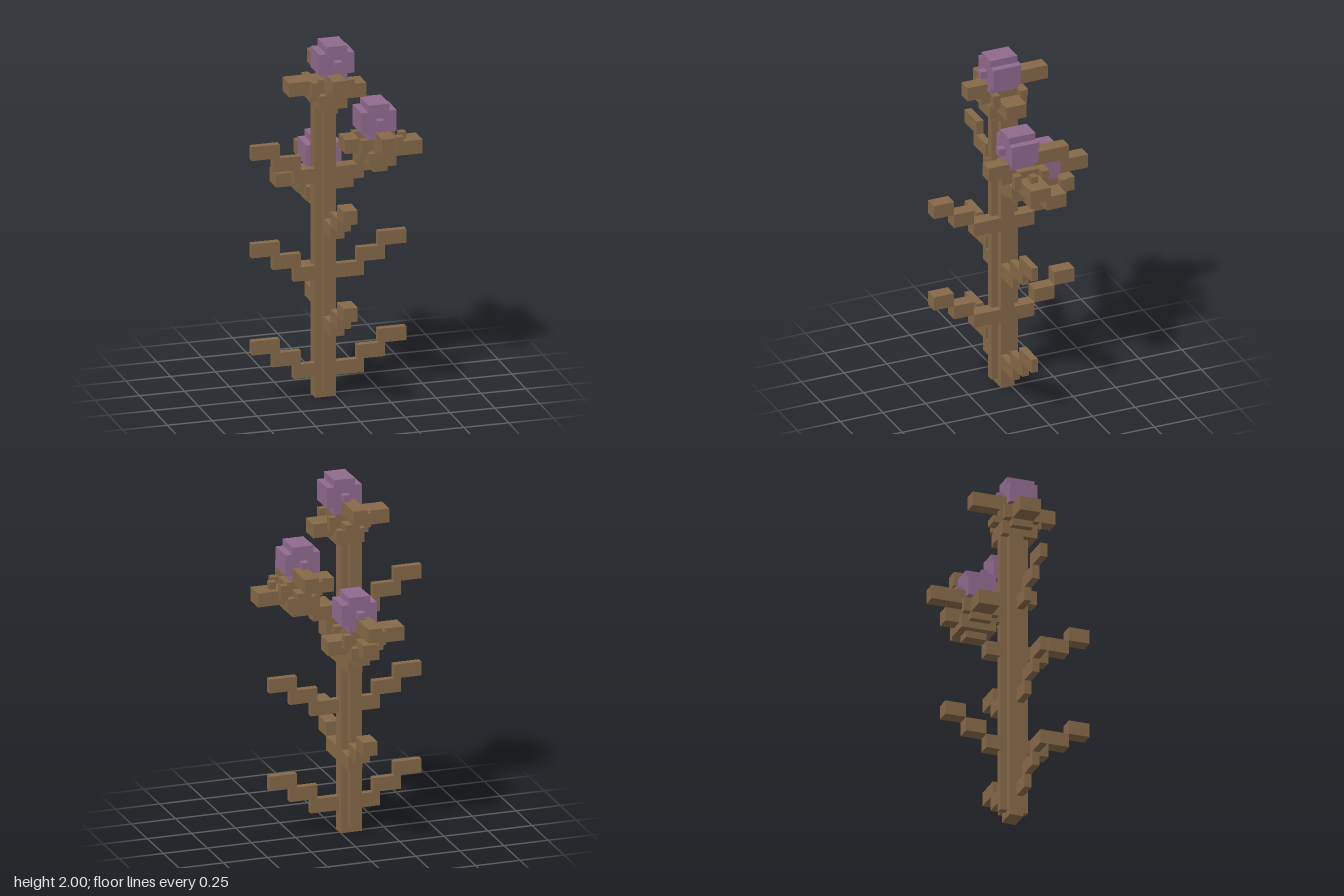
import * as THREE from 'three';

const U = 2 / 51; // one block
const bark = new THREE.MeshStandardMaterial({ color: 0x866848 });
bark.name = 'brown bark';
const petal = new THREE.MeshStandardMaterial({ color: 0x906a8e });
petal.name = 'mauve petal';

// Box from block ranges [min, max] on each axis
function block(parent, name, x, y, z, mat = bark) {
  const g = new THREE.BoxGeometry((x[1] - x[0]) * U, (y[1] - y[0]) * U, (z[1] - z[0]) * U);
  const m = new THREE.Mesh(g, mat);
  m.name = name;
  m.position.set((x[0] + x[1]) * U / 2, (y[0] + y[1]) * U / 2, (z[0] + z[1]) * U / 2);
  parent.add(m);
}

function group(parent, name) {
  const g = new THREE.Group();
  g.name = name;
  parent.add(g);
  return g;
}

// Flower head with its cup and four leaves; flip mirrors the cup sideways
function flower(parent, name, dx, dy, dz, flip) {
  const f = group(parent, name);
  f.position.set(dx * U, dy * U, dz * U);
  const fx = (a, b) => (flip ? [-1 - b, -1 - a] : [a, b]);

  block(f, 'bloomCore', [-2, 1], [46, 51], [-0.5, 3.5], petal);
  block(f, 'bloomWide', [-3, 2], [47, 50], [-0.5, 3.5], petal);
  block(f, 'bloomBumps', [-1, 0], [48, 49], [-1.5, 4.5], petal);

  block(f, 'cupBase', fx(-2, 0), [41, 42], [-0.5, 2.5]);
  block(f, 'cupLower', fx(-3, 1), [42, 44], [-1.5, 3.5]);
  block(f, 'cupMiddle', fx(-4, 2), [43, 45], [-0.5, 2.5]);
  block(f, 'cupUpper', fx(-3, 1), [44, 46], [-0.5, 2.5]);
  block(f, 'cupNubs', fx(-2, 0), [44, 45], [-2.5, 4.5]);
  block(f, 'cupSideNub', fx(-5, -4), [45, 46], [0.5, 1.5]);
  for (const x of [-4, 1])
    for (const z of [-1.5, 2.5]) block(f, 'cupCorner', fx(x, x + 1), [44, 46], [z, z + 1]);

  block(f, 'rightLeaf', [flip ? -5 : -7, -3], [44, 46], [-0.5, 2.5]);
  block(f, 'leftLeaf', [1, flip ? 6 : 4], [43, 45], [-0.5, 2.5]);
  block(f, 'frontLeaf', fx(-2, 0), [45, 47], [2.5, 6.5]);
  block(f, 'backLeaf', fx(-2, 0), [46, 48], [-5.5, -0.5]);
}

export function createModel() {
  const model = new THREE.Group();
  model.name = 'thornyFlower';

  // Ribbed stem
  const stem = group(model, 'stem');
  block(stem, 'stemCore', [-3, 0], [0, 46], [-0.5, 1.5]);
  block(stem, 'stemRibs', [-2, -1], [1, 46], [-1.5, 2.5]);

  // Stepped side thorns; only the right one continues on the top tier
  for (const y of [3, 17, 31]) {
    const t = group(model, 'sideThorns');
    for (let i = 0; i < 3; i++) {
      const h = [y + 2 * i, y + 2 * i + 2];
      block(t, 'rightThorn', [-6 - 3 * i, -2 - 3 * i], h, [0.5, 1.5]);
      if (y < 31) block(t, 'leftThorn', [-1 + 3 * i + (i ? 1 : 0), 4 + 3 * i], h, [0.5, 1.5]);
    }
  }

  // Stepped front and back thorns
  for (const y of [10, 24]) {
    const t = group(model, 'frontBackThorns');
    for (let i = 0; i < 3; i++) {
      const h = [y + 2 * i, y + 2 * i + 2];
      block(t, 'frontThorn', [-2, 0], h, [i ? 2.5 + 3 * i : 1.5, 5.5 + 3 * i]);
      block(t, 'backThorn', [-2, 0], h, [-3.5 - 3 * i, i ? -0.5 - 3 * i : -0.5]);
    }
  }

  // Bracket holding the left flower
  const bracket = group(model, 'leftBracket');
  block(bracket, 'bracketLower', [-1, 2], [30, 32], [-0.5, 1.5]);
  block(bracket, 'bracketUpper', [0, 4], [31, 33], [-0.5, 1.5]);
  block(bracket, 'bracketTip', [3, 7], [32, 34], [-0.5, 1.5]);

  flower(model, 'topFlower', 0, 0, 0, false);
  flower(model, 'leftFlower', 6, -9, 0, true);
  flower(model, 'backFlower', 0, -15, -6, false);
  return model;
}
